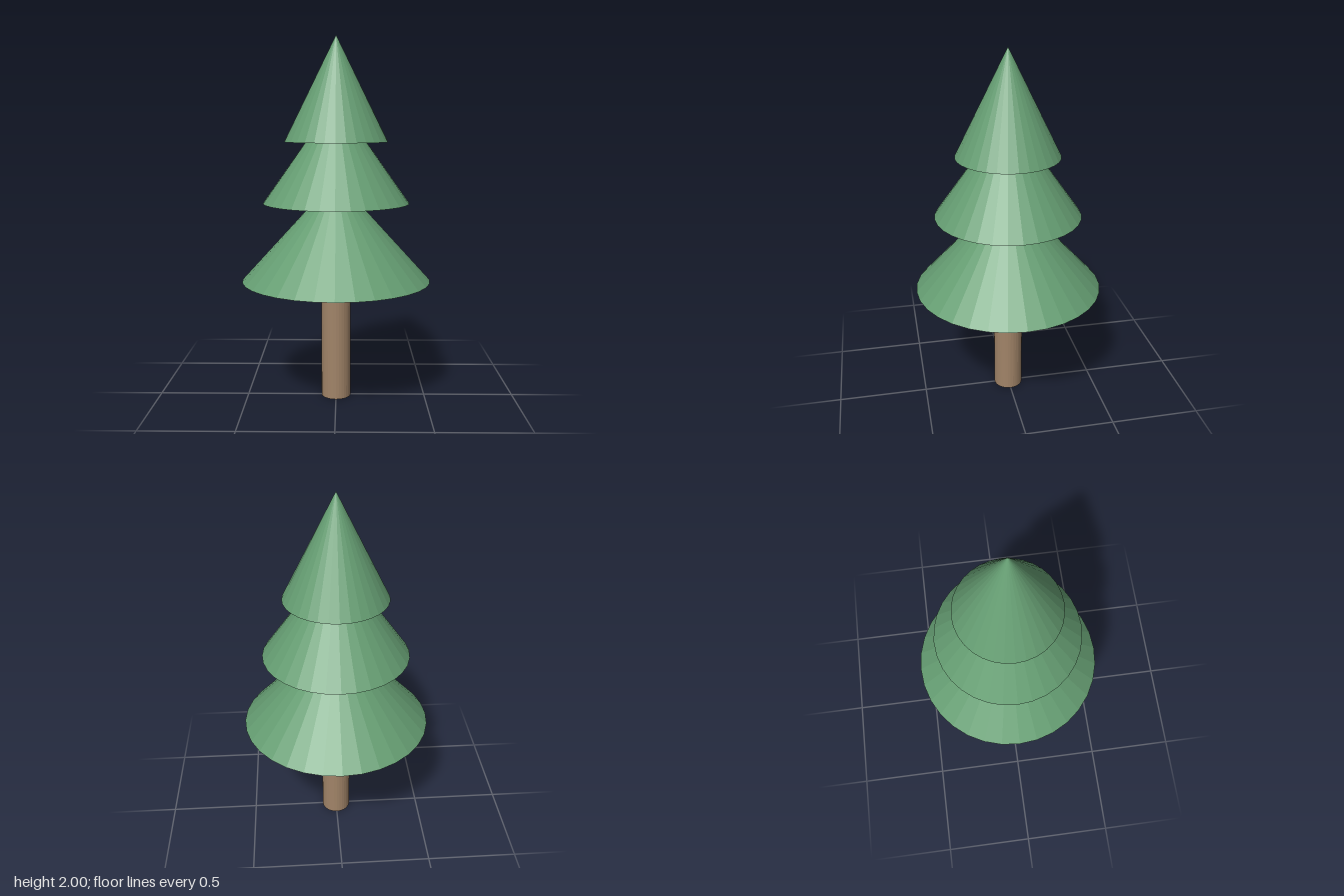
import * as THREE from 'three';

export function createModel() {
  const tree = new THREE.Group();
  tree.name = 'tree';

  const foliage = new THREE.MeshStandardMaterial({ color: 0x659d72, flatShading: true });
  foliage.name = 'foliage green';
  const bark = new THREE.MeshStandardMaterial({ color: 0xa18468, flatShading: true });
  bark.name = 'bark brown';

  const sides = 32;
  const add = (name, geometry, material, y) => {
    const mesh = new THREE.Mesh(geometry, material);
    mesh.name = name;
    mesh.position.y = y;
    tree.add(mesh);
  };

  // Trunk, standing on the ground and meeting the lowest tier
  const trunkHeight = 0.67;
  add('trunk', new THREE.CylinderGeometry(0.082, 0.082, trunkHeight, sides), bark, trunkHeight / 2);

  // Three overlapping cones of equal height: [name, base radius, base y]
  const tierHeight = 0.567;
  const tiers = [
    ['lowerBranches', 0.52, 0.67],
    ['middleBranches', 0.401, 1.1],
    ['upperBranches', 0.283, 1.433],
  ];
  for (const [name, radius, base] of tiers) {
    add(name, new THREE.ConeGeometry(radius, tierHeight, sides), foliage, base + tierHeight / 2);
  }

  return tree;
}
